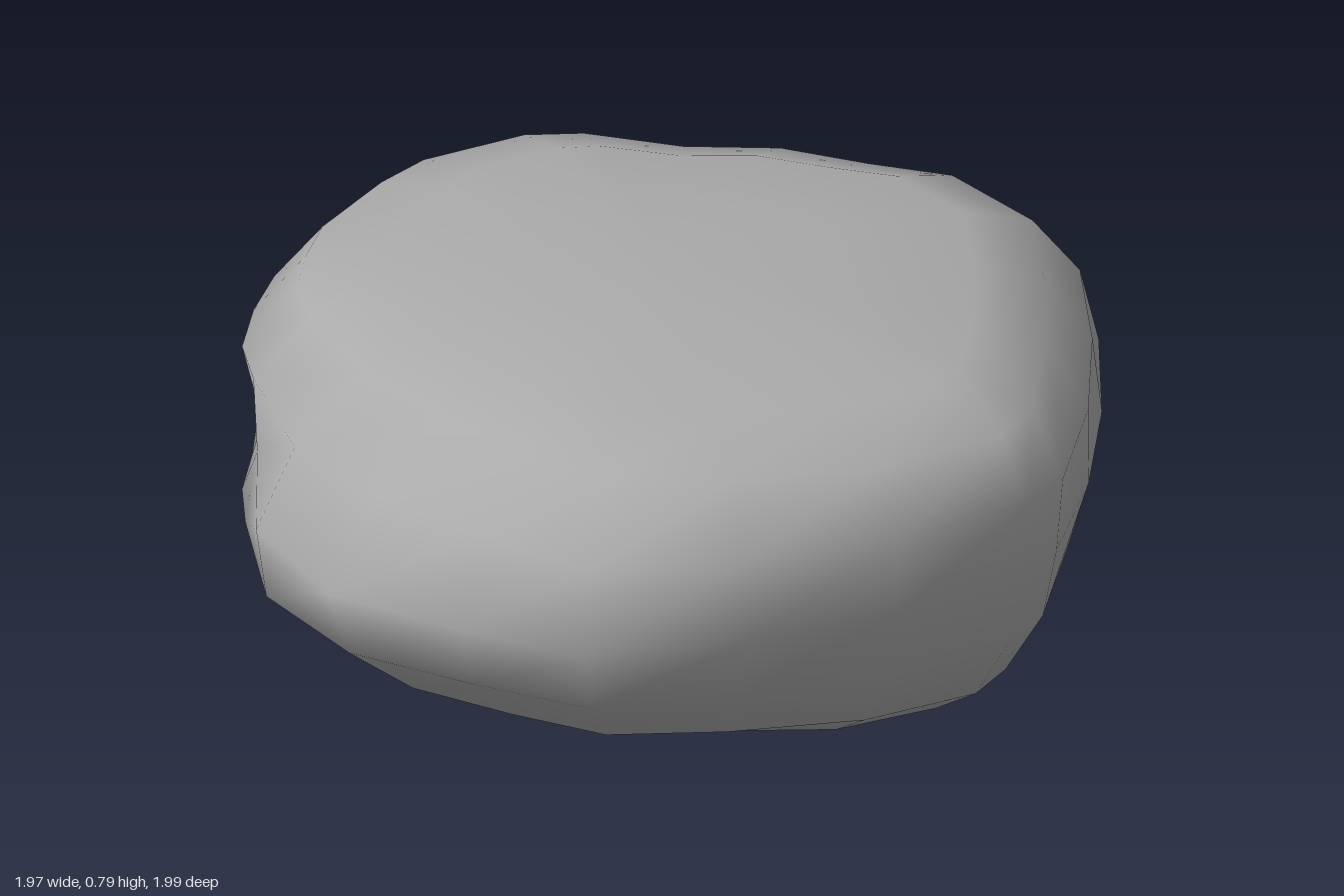
import * as THREE from 'three';

// Widest outline seen from above, as x, z pairs
const OUTLINE = [
  [0.985, -0.13], [0.94, 0.17], [0.82, 0.5], [0.65, 0.79], [0.38, 0.9], [0.08, 0.995], [-0.24, 0.93],
  [-0.52, 0.71], [-0.63, 0.61], [-0.75, 0.49], [-0.85, 0.36], [-0.95, 0.1], [-0.99, -0.06], [-0.98, -0.36], [-0.91, -0.5],
  [-0.71, -0.69], [-0.49, -0.85], [-0.25, -0.92], [-0.05, -1], [0.26, -0.96], [0.51, -0.75], [0.74, -0.52], [0.94, -0.27],
];

// Height of each ring and its share of the outline in eight directions:
// +x, +x+z, +z, -x+z, -x, -x-z, -z, +x-z
const RINGS = [
  [0, [0.38, 0.28, 0.3, 0.37, 0.36, 0.37, 0.34, 0.35]],
  [0, [0.76, 0.57, 0.61, 0.75, 0.72, 0.75, 0.68, 0.69]],
  [0.07, [0.86, 0.74, 0.75, 0.87, 0.88, 0.87, 0.85, 0.84]],
  [0.22, [0.95, 0.91, 0.94, 1, 0.95, 1, 0.96, 0.94]],
  [0.38, [0.97, 1, 1, 0.95, 1, 0.97, 1, 1]],
  [0.55, [1, 0.95, 0.84, 1, 0.94, 0.82, 0.94, 0.99]],
  [0.69, [0.94, 0.82, 0.66, 0.87, 0.83, 0.71, 0.83, 0.88]],
  [0.745, [0.75, 0.62, 0.51, 0.66, 0.64, 0.56, 0.67, 0.72]],
  [0.775, [0.36, 0.32, 0.28, 0.32, 0.34, 0.32, 0.36, 0.36]],
];

function share(list, x, z) {
  const t = ((Math.atan2(z, x) / (Math.PI / 4)) + 8) % 8;
  const i = Math.floor(t);
  return THREE.MathUtils.lerp(list[i % 8], list[(i + 1) % 8], t - i);
}

// Boulder skin: stacked rings closed by a centre point below and above
function boulderGeometry() {
  const n = OUTLINE.length;
  const pos = [];
  const index = [];
  for (const [y, list] of RINGS) {
    for (const [x, z] of OUTLINE) {
      const s = share(list, x, z);
      pos.push(x * s, y, z * s);
    }
  }
  const bottom = pos.length / 3;
  pos.push(0, 0, 0, 0, 0.79, 0);
  const last = (RINGS.length - 1) * n;
  for (let i = 0; i < n; i++) {
    const j = (i + 1) % n;
    for (let r = 0; r < last; r += n) {
      index.push(r + i, r + n + i, r + j, r + j, r + n + i, r + n + j);
    }
    index.push(bottom, i, j, bottom + 1, last + j, last + i);
  }
  const geometry = new THREE.BufferGeometry();
  geometry.setAttribute('position', new THREE.Float32BufferAttribute(pos, 3));
  geometry.setIndex(index);
  geometry.computeVertexNormals();
  return geometry;
}

export function createModel() {
  const group = new THREE.Group();
  group.name = 'rock';
  const stone = new THREE.MeshStandardMaterial({ color: 0xaaaaaa });
  stone.name = 'grey stone';
  const boulder = new THREE.Mesh(boulderGeometry(), stone);
  boulder.name = 'boulder';
  group.add(boulder);
  return group;
}
